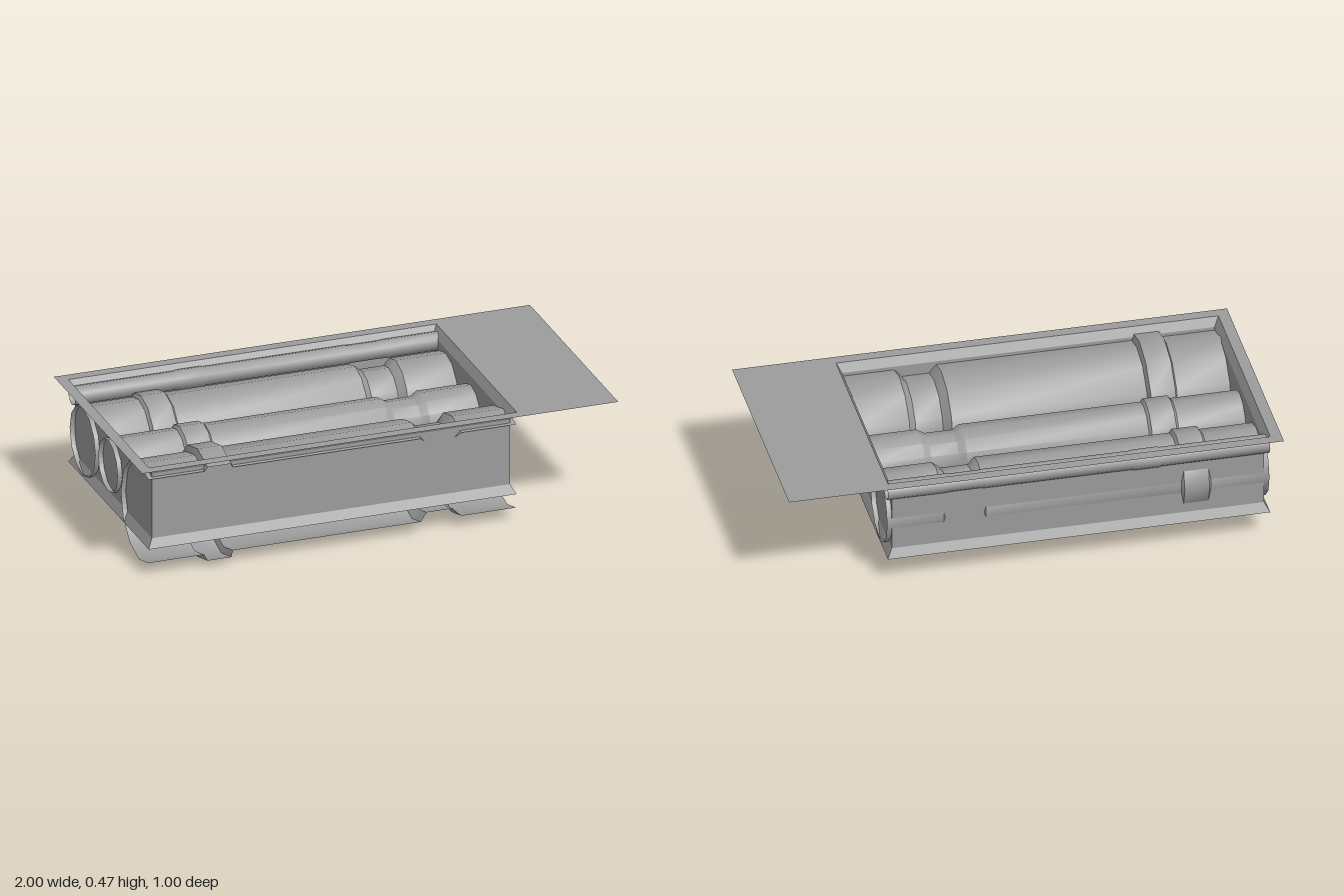
import * as THREE from 'three';
import { toCreasedNormals } from 'three/addons/utils/BufferGeometryUtils.js';

const material = new THREE.MeshStandardMaterial({ color: 0x9c9c9c, side: THREE.DoubleSide });
const TOP = 0.467, FLOOR = 0.114;
const X0 = -0.955, X1 = 0.59, HALF_Z = 0.455; // trench opening

function addMesh(group, geometry, name) {
  const mesh = new THREE.Mesh(geometry, material);
  mesh.name = name;
  group.add(mesh);
  return mesh;
}

// Flat ground plate with a rectangular opening
function plateGeometry() {
  const rect = (P, x0, x1, z) => new P([[x0, -z], [x1, -z], [x1, z], [x0, z]].map(p => new THREE.Vector2(...p)));
  const shape = rect(THREE.Shape, -1, 1, 0.5);
  shape.holes.push(rect(THREE.Path, X0, X1, HALF_Z));
  return new THREE.ShapeGeometry(shape).rotateX(-Math.PI / 2).translate(0, TOP, 0);
}

// Open trough: stacked rectangles, flared at rim and base, closed by a floor
function troughGeometry() {
  const sections = [[FLOOR, 0], [0.152, 0.02], [0.43, 0.02], [TOP, 0]];
  const rings = sections.map(([y, inset]) => {
    const a = X0 + inset, b = X1 - inset, z = HALF_Z - inset;
    return [[a, y, z], [b, y, z], [b, y, -z], [a, y, -z]];
  });
  const pos = [];
  const quad = (a, b, c, d) => pos.push(...a, ...b, ...c, ...a, ...c, ...d);
  for (let i = 0; i < rings.length - 1; i++) {
    for (let k = 0; k < 4; k++) {
      const n = (k + 1) % 4;
      quad(rings[i][k], rings[i][n], rings[i + 1][n], rings[i + 1][k]);
    }
  }
  quad(...[...rings[0]].reverse());
  const g = new THREE.BufferGeometry();
  g.setAttribute('position', new THREE.Float32BufferAttribute(pos, 3));
  g.computeVertexNormals();
  return g;
}

// Open-ended pipe along x with a raised collar and a narrow neck
function pipeGeometry({ r, collar, neck, collarX, start = 0, segments = 12 }) {
  const profile = [
    [r, X0], [r, collarX - 0.06], [collar, collarX - 0.05],
    [collar, collarX + 0.05], [r, collarX + 0.06],
    [r, 0.19], [neck, 0.22], [neck, 0.33], [r, 0.36], [r, X1],
  ].map(p => new THREE.Vector2(...p));
  const g = new THREE.LatheGeometry(profile, segments, start, segments * Math.PI / 6);
  g.rotateZ(-Math.PI / 2);
  return toCreasedNormals(g, 0.6);
}

export function createModel() {
  const model = new THREE.Group();
  model.name = 'pipeTrench';
  addMesh(model, plateGeometry(), 'groundPlate');
  addMesh(model, troughGeometry(), 'trough');

  const pipes = [
    { name: 'backPipe', r: 0.145, collar: 0.159, neck: 0.119, y: 0.267, z: -0.296, collarX: -0.66 },
    { name: 'middlePipe', r: 0.11, collar: 0.122, neck: 0.092, y: 0.283, z: -0.009, collarX: -0.605 },
    { name: 'smallPipe', r: 0.038, collar: 0.041, neck: 0.036, y: 0.413, z: -0.417, collarX: -0.46 },
    // the largest pipe is left open on its front side
    { name: 'frontPipe', r: 0.207, collar: 0.2325, neck: 0.173, y: 0.2325, z: 0.345, collarX: -0.66, start: Math.PI / 3, segments: 8 },
  ];
  for (const p of pipes) {
    addMesh(model, pipeGeometry(p), p.name).position.set(0, p.y, p.z);
  }
  return model;
}
